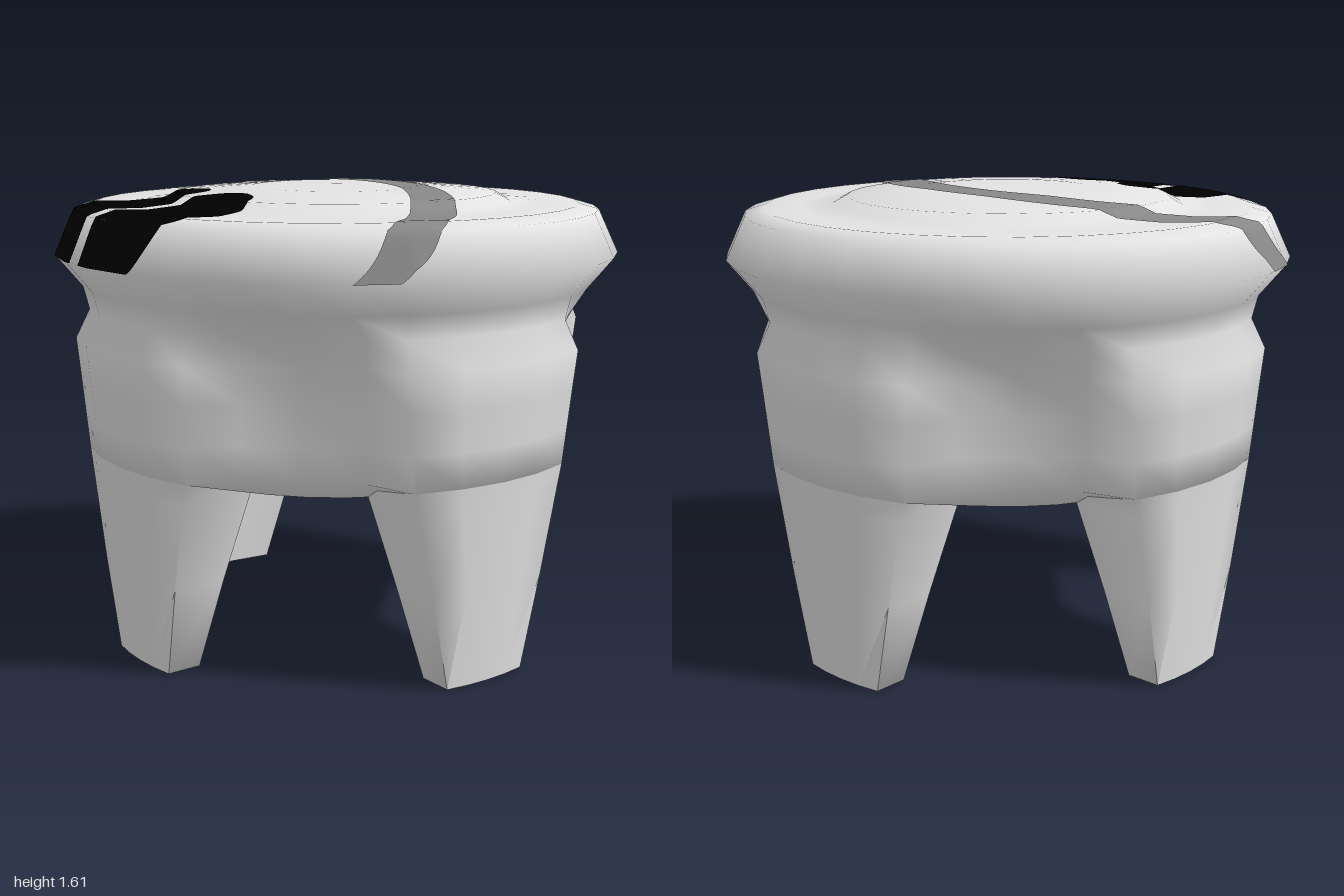
import * as THREE from 'three';
import { toCreasedNormals } from 'three/addons/utils/BufferGeometryUtils.js';

const SIDES = 32;
const mat = (name, color, side = THREE.FrontSide) => {
  const m = new THREE.MeshStandardMaterial({ color, side });
  m.name = name;
  return m;
};
const V = (pts) => pts.map(([x, y]) => new THREE.Vector2(x, y));

// Upper seat profile as [radius, height], from the rim to the centre
const TOP = [[1, 1.38], [0.93, 1.53], [0.86, 1.55], [0.74, 1.546], [0.62, 1.555], [0.57, 1.583], [0.3, 1.603], [0, 1.61]];

// Profile [radius between legs, height, radius over legs, leg half width]: hollow, skirt, neck, seat
const BODY = [[0, 0.93], [0.63, 0.93], [0.665, 0.63], [0.74, 0.7, 0.906, 0.322], [0.755, 0.82, 0.916, 0.334],
  [0.775, 0.96, 0.928, 0.347], [0.805, 1.09, 0.94, 0.36], [0.86, 1.19, 0.89, 0.341], [0.91, 1.27], ...TOP];

// Lathed body whose skirt steps outward over each of the four legs
function bodyGeometry() {
  const g = new THREE.LatheGeometry(V(BODY), SIDES);
  const p = g.attributes.position;
  for (let i = 0; i < p.count; i++) {
    const [valley, y, outer, w] = BODY[i % BODY.length];
    if (!outer) continue;
    const column = Math.floor(i / BODY.length);
    const leg = Math.round(column / 8), step = column - leg * 8;
    const c = Math.asin(w / outer);
    const angle = [0, c / 2, c, c + (Math.PI / 4 - c) * 0.35, Math.PI / 4][Math.abs(step)];
    const r = [outer, outer, outer, valley + (outer - valley) * 0.15, valley][Math.abs(step)];
    const a = (leg * Math.PI) / 2 + Math.sign(step) * angle;
    p.setXYZ(i, r * Math.sin(a), y, r * Math.cos(a));
  }
  return toCreasedNormals(g, 1.3);
}

// Radius at which the faceted seat passes through (x, z)
function facetRadius(x, z) {
  const step = (Math.PI * 2) / SIDES;
  const a = Math.atan2(x, z);
  const d = a - (Math.floor(a / step) + 0.5) * step;
  return (Math.hypot(x, z) * Math.cos(d)) / Math.cos(step / 2);
}

function seatHeight(r) {
  for (let i = 1; i < TOP.length; i++) {
    const [r0, y0] = TOP[i - 1], [r1, y1] = TOP[i];
    if (r >= r1) return y0 + ((y1 - y0) * (r0 - r)) / (r0 - r1);
  }
  return 1.61;
}

// Thin painted sheet between two [x, z] edge curves, draped on the seat
function drape(edgeA, edgeB, nu, nv) {
  const a = new THREE.SplineCurve(V(edgeA)), b = new THREE.SplineCurve(V(edgeB));
  const pos = [], index = [];
  for (let i = 0; i <= nu; i++) {
    const p = a.getPoint(i / nu), q = b.getPoint(i / nu);
    for (let j = 0; j <= nv; j++) {
      const c = p.clone().lerp(q, j / nv);
      const r = facetRadius(c.x, c.y);
      if (r > 1) c.multiplyScalar(1 / r);
      const rr = Math.min(r, 1);
      const out = rr > 0.9 ? 1.004 : 1;
      const lift = 0.004 * (1 - THREE.MathUtils.smoothstep(rr, 0.95, 1));
      pos.push(c.x * out, seatHeight(rr) + lift, c.y * out);
      if (i < nu && j < nv) {
        const k = i * (nv + 1) + j, m = k + nv + 1;
        index.push(k, k + 1, m, k + 1, m + 1, m);
      }
    }
  }
  const g = new THREE.BufferGeometry();
  g.setAttribute('position', new THREE.Float32BufferAttribute(pos, 3));
  g.setIndex(index);
  g.computeVertexNormals();
  return g;
}

// Tapered leg facing +z, a block between two arcs: [y, outer radius, inner radius, half width]
function legGeometry() {
  const levels = [[0, 0.85, 0.73, 0.165], [0.32, 0.876, 0.694, 0.237], [0.63, 0.9, 0.66, 0.306], [0.7, 0.906, 0.68, 0.322]];
  const pos = [], index = [];
  for (const [y, ro, ri, w] of levels) {
    const c = Math.asin(w / ro), z = Math.sqrt(ri * ri - w * w);
    pos.push(0, y, ri, w, y, z);
    for (const t of [1, 0.5, 0, -0.5, -1]) pos.push(ro * Math.sin(c * t), y, ro * Math.cos(c * t));
    pos.push(-w, y, z);
  }
  const n = 8;
  for (let i = 0; i < levels.length - 1; i++) {
    for (let j = 0; j < n; j++) {
      const a = i * n + j, b = i * n + ((j + 1) % n);
      index.push(a, a + n, b, b, a + n, b + n);
    }
  }
  for (let j = 1; j < n - 1; j++) index.push(0, j, j + 1); // foot
  const g = new THREE.BufferGeometry();
  g.setAttribute('position', new THREE.Float32BufferAttribute(pos, 3));
  g.setIndex(index);
  return toCreasedNormals(g, 1.38);
}

export function createModel() {
  const group = new THREE.Group();
  const grey = mat('lightGrey', 0xe3e3e3);
  const band = mat('midGrey', 0x888888, THREE.DoubleSide);
  const black = mat('black', 0x000000, THREE.DoubleSide);
  const add = (name, geometry, material) => {
    const m = new THREE.Mesh(geometry, material);
    m.name = name;
    group.add(m);
    return m;
  };

  // Round seat with its skirt, hollow from below
  add('seatAndSkirt', bodyGeometry(), grey);

  // Four legs, one on each axis
  const legGeo = legGeometry();
  ['frontLeg', 'leftLeg', 'backLeg', 'rightLeg'].forEach((name, i) => {
    add(name, legGeo, grey).rotation.y = (i * Math.PI) / 2;
  });

  // Curved band painted across the seat
  add('seatBand', drape(
    [[-0.97, 0.24], [-0.92, 0.1], [-0.7, -0.08], [-0.4, -0.22], [-0.1, -0.27], [0.2, -0.24], [0.45, -0.14], [0.7, 0.04], [0.89, 0.27], [0.9, 0.44]],
    [[-0.92, 0.4], [-0.88, 0.26], [-0.7, 0.12], [-0.42, -0.06], [-0.1, -0.14], [0.17, -0.11], [0.4, 0], [0.64, 0.19], [0.82, 0.42], [0.83, 0.57]],
    100, 10), band);

  // Two black patches running over the front of the rim
  add('rightPatch', drape(
    [[-0.23, 0.4], [-0.33, 0.44], [-0.41, 0.56], [-0.455, 0.7], [-0.46, 0.82], [-0.4, 0.93]],
    [[-0.21, 0.4], [-0.14, 0.45], [-0.12, 0.56], [-0.125, 0.7], [-0.14, 0.85], [-0.155, 1.0]],
    50, 24), black);
  add('leftPatch', drape(
    [[0.05, 0.43], [-0.01, 0.46], [-0.05, 0.56], [-0.065, 0.7], [-0.085, 0.85], [-0.08, 1.0]],
    [[0.08, 0.43], [0.17, 0.47], [0.25, 0.57], [0.29, 0.7], [0.29, 0.85], [0.2, 1.0]],
    50, 24), black);

  return group;
}
